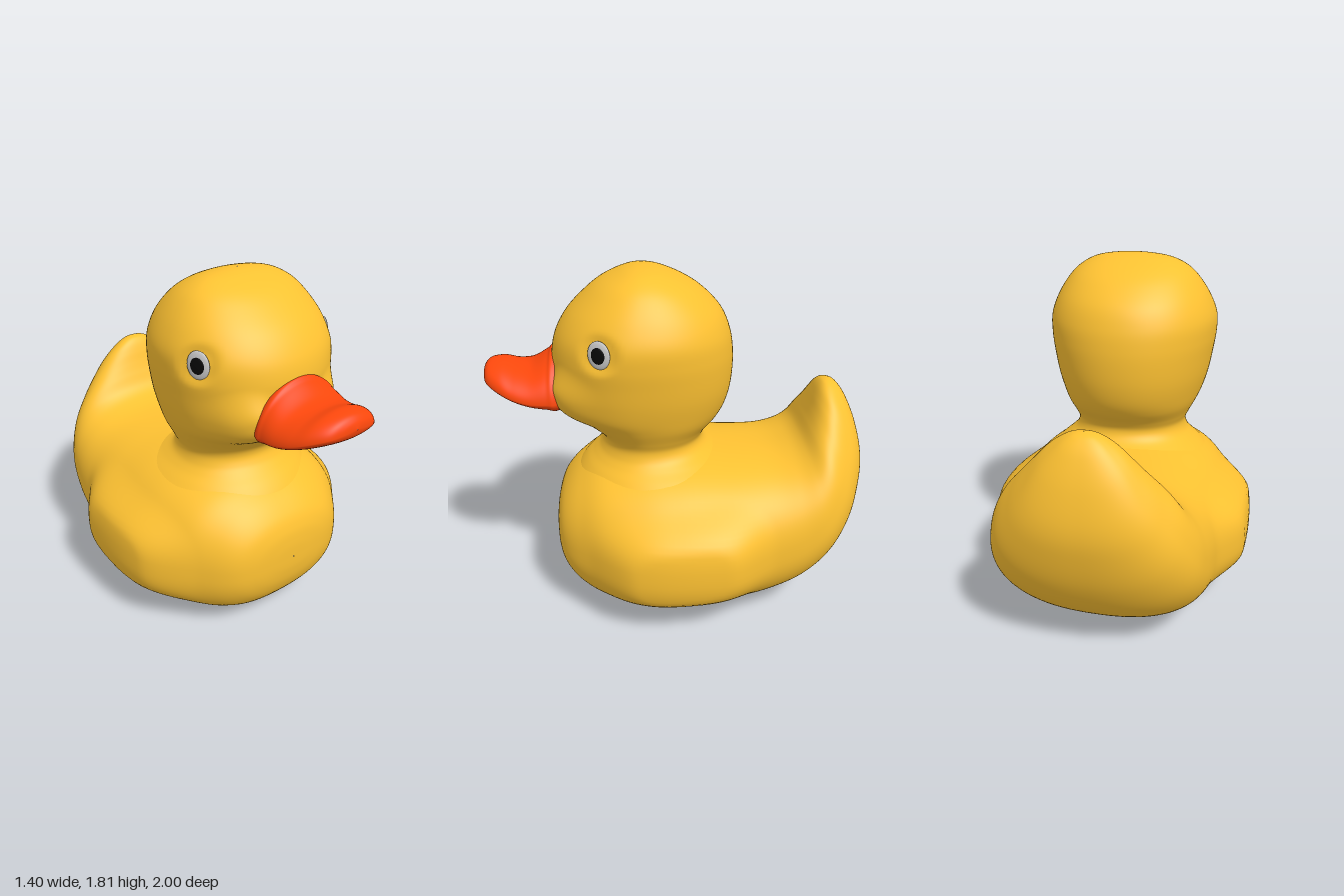
import * as THREE from 'three';

const YELLOW = new THREE.MeshStandardMaterial({ color: 0xfec232 });
const ORANGE = new THREE.MeshStandardMaterial({ color: 0xff480c });
const WHITE = new THREE.MeshStandardMaterial({ color: 0xcccccc });
const BLACK = new THREE.MeshStandardMaterial({ color: 0x080808 });

const smooth = THREE.MathUtils.smoothstep;
const EYE = { x: 0.39, y: 1.478, z: 0.39 };

// Catmull-Rom interpolation of every column of a row table
function sampleRows(rows, t) {
  const last = rows.length - 1;
  const i = Math.min(Math.floor(t * last), last - 1);
  const f = t * last - i;
  const [a, b, c, d] = [Math.max(i - 1, 0), i, i + 1, Math.min(i + 2, last)].map((k) => rows[k]);
  return b.map((_, k) => b[k] + 0.5 * f * (c[k] - a[k]
    + f * (2 * a[k] - 5 * b[k] + 4 * c[k] - d[k] + f * (3 * (b[k] - c[k]) + d[k] - a[k]))));
}

// Skin over superellipse rings. A row is [zA, yA, zB, yB, halfWidth]: the ring
// runs from A to B in the centre plane; 'widest' is where between them it is widest.
function loft(rows, { power, widest, deform, around = 112, perRow = 8 }) {
  const steps = (rows.length - 1) * perRow;
  const pos = [], index = [];
  const curve = (v) => Math.sign(v) * Math.abs(v) ** (2 / power);
  for (let i = 0; i <= steps; i++) {
    const [zA, yA, zB, yB, w] = sampleRows(rows, i / steps);
    for (let j = 0; j < around; j++) {
      const angle = (j / around) * Math.PI * 2;
      const s = curve(Math.sin(angle));
      const f = widest + (s > 0 ? 1 - widest : widest) * s;
      const p = new THREE.Vector3(Math.max(w, 0.0005) * curve(Math.cos(angle)), yA + (yB - yA) * f, zA + (zB - zA) * f);
      if (deform) deform(p);
      pos.push(p.x, p.y, p.z);
      if (i < steps) {
        const k = (j + 1) % around;
        const a = i * around + j, b = i * around + k;
        index.push(a, a + around, b, b, a + around, b + around);
      }
    }
  }
  const geometry = new THREE.BufferGeometry();
  geometry.setAttribute('position', new THREE.Float32BufferAttribute(pos, 3));
  geometry.setIndex(index);
  geometry.computeVertexNormals();
  return geometry;
}

// Chest to tail tip: underside point, upper point, half width
const BODY = [
  [0.67, 0.415, 0.67, 0.425, 0],
  [0.667, 0.34, 0.667, 0.5, 0.13],
  [0.65, 0.255, 0.653, 0.58, 0.25],
  [0.61, 0.175, 0.615, 0.66, 0.345],
  [0.53, 0.095, 0.53, 0.745, 0.435],
  [0.40, 0.04, 0.40, 0.82, 0.53],
  [0.20, 0.012, 0.20, 0.86, 0.59],
  [0, 0.003, 0, 0.865, 0.61],
  [-0.25, 0.015, -0.25, 0.85, 0.60],
  [-0.46, 0.05, -0.46, 0.853, 0.57],
  [-0.66, 0.135, -0.58, 0.88, 0.545],
  [-0.82, 0.28, -0.65, 0.925, 0.51],
  [-0.93, 0.46, -0.69, 1.0, 0.445],
  [-0.987, 0.65, -0.715, 1.06, 0.355],
  [-1.0, 0.80, -0.735, 1.115, 0.275],
  [-0.965, 0.97, -0.755, 1.16, 0.195],
  [-0.91, 1.105, -0.775, 1.187, 0.115],
  [-0.86, 1.175, -0.795, 1.197, 0.055],
  [-0.82, 1.198, -0.815, 1.2, 0],
];

// Flared neck to crown: back point, front point, half width
const HEAD = [
  [-0.52, 0.71, 0.555, 0.71, 0.48],
  [-0.46, 0.75, 0.528, 0.75, 0.442],
  [-0.36, 0.79, 0.494, 0.79, 0.397],
  [-0.25, 0.83, 0.452, 0.83, 0.347],
  [-0.165, 0.87, 0.418, 0.87, 0.312],
  [-0.135, 0.92, 0.402, 0.92, 0.30],
  [-0.155, 0.97, 0.425, 0.97, 0.32],
  [-0.215, 1.04, 0.51, 1.04, 0.357],
  [-0.255, 1.11, 0.61, 1.11, 0.387],
  [-0.28, 1.2, 0.64, 1.2, 0.412],
  [-0.29, 1.3, 0.645, 1.3, 0.43],
  [-0.288, 1.4, 0.645, 1.4, 0.444],
  [-0.27, 1.5, 0.62, 1.5, 0.443],
  [-0.225, 1.6, 0.56, 1.6, 0.405],
  [-0.14, 1.69, 0.47, 1.69, 0.348],
  [-0.05, 1.75, 0.39, 1.75, 0.288],
  [0.05, 1.793, 0.295, 1.793, 0.205],
  [0.12, 1.812, 0.23, 1.812, 0.1],
  [0.175, 1.817, 0.18, 1.817, 0],
];

// Bill tip back into the face: lower point, upper point, half width
const BEAK = [
  [1.0, 1.285, 1.0, 1.29, 0],
  [0.99, 1.255, 0.988, 1.325, 0.085],
  [0.965, 1.228, 0.96, 1.348, 0.15],
  [0.90, 1.188, 0.90, 1.352, 0.205],
  [0.83, 1.155, 0.83, 1.335, 0.235],
  [0.75, 1.125, 0.75, 1.342, 0.25],
  [0.67, 1.103, 0.67, 1.388, 0.253],
  [0.61, 1.093, 0.63, 1.412, 0.245],
  [0.5, 1.14, 0.5, 1.37, 0.15],
];

// Raised rounded wing panel on each flank
function swellWings(p) {
  const d = (Math.abs((p.z - 0.01) / 0.45) ** 3.5 + Math.abs((p.y - 0.4 + 0.08 * p.z) / 0.29) ** 3.5) ** (1 / 3.5);
  const side = smooth(Math.abs(p.x), 0.3, 0.5);
  p.x += Math.sign(p.x) * 0.088 * side * (1 - smooth(d, 0.5, 1.08));
}

// Cheeks fill out behind the beak corners, shallow sockets hold the eyes
function shapeFace(p) {
  const x = Math.abs(p.x);
  const cheek = 1 - smooth(Math.hypot(x - 0.25, p.y - 1.21), 0.02, 0.18);
  const socket = 1 - smooth(Math.hypot(p.z - EYE.z, p.y - EYE.y), 0.045, 0.11);
  p.z += 0.055 * cheek * smooth(p.z, 0.35, 0.5);
  p.x -= Math.sign(p.x) * 0.022 * socket * smooth(x, 0.2, 0.3);
}

export function createModel() {
  const group = new THREE.Group();
  const add = (name, geometry, material, parent = group) => {
    const mesh = new THREE.Mesh(geometry, material);
    mesh.name = name;
    parent.add(mesh);
    return mesh;
  };

  add('bodyAndTail', loft(BODY, { power: 2.4, widest: 0.46, deform: swellWings }), YELLOW);
  add('headAndNeck', loft(HEAD, { power: 2.08, widest: 0.54, deform: shapeFace }), YELLOW);
  add('beak', loft(BEAK, { power: 1.9, widest: 0.27 }), ORANGE);

  // Eyes: flattened domes facing outward and a little forward
  const ball = new THREE.SphereGeometry(1, 32, 20);
  for (const side of [1, -1]) {
    const eye = new THREE.Group();
    eye.name = side > 0 ? 'leftEye' : 'rightEye';
    eye.position.set(side * EYE.x, EYE.y, EYE.z);
    eye.rotation.y = side * 1.13;
    add('eyeWhite', ball, WHITE, eye).scale.set(0.058, 0.07, 0.014);
    const pupil = add('pupil', ball, BLACK, eye);
    pupil.scale.set(0.037, 0.043, 0.01);
    pupil.position.z = 0.008;
    group.add(eye);
  }
  return group;
}
